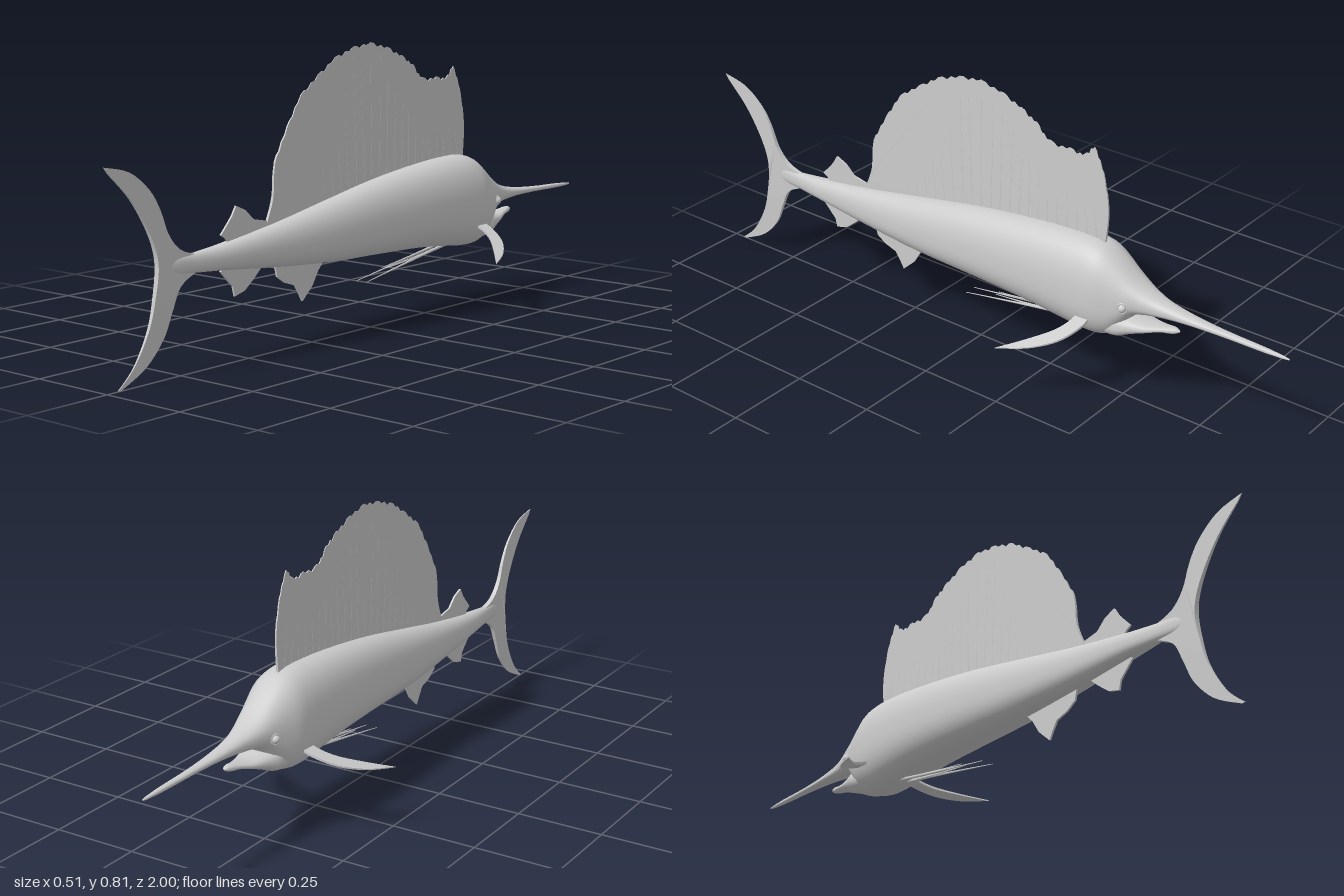
import * as THREE from 'three';

const material = new THREE.MeshStandardMaterial({ color: 0xcccccc });
const thinMaterial = new THREE.MeshStandardMaterial({ color: 0xcccccc, side: THREE.DoubleSide });

// Stations along the fish: [z, top, bottom, half width]
const BODY = [
  [-1, 0.309, 0.306, 0.002], [-0.98, 0.312, 0.304, 0.005], [-0.8, 0.32, 0.304, 0.013], [-0.7, 0.328, 0.303, 0.021],
  [-0.62, 0.342, 0.297, 0.032], [-0.57, 0.36, 0.29, 0.046], [-0.54, 0.377, 0.278, 0.056],
  [-0.51, 0.4, 0.238, 0.067], [-0.48, 0.424, 0.204, 0.078], [-0.44, 0.449, 0.189, 0.09],
  [-0.4, 0.459, 0.187, 0.093], [-0.33, 0.46, 0.194, 0.094], [-0.2, 0.451, 0.206, 0.09],
  [0, 0.426, 0.213, 0.079], [0.2, 0.39, 0.219, 0.066], [0.4, 0.353, 0.234, 0.048],
  [0.6, 0.323, 0.254, 0.029], [0.7, 0.313, 0.262, 0.016], [0.78, 0.305, 0.272, 0.006], [0.8, 0.29, 0.288, 0.001],
];
const JAW = [
  [-0.672, 0.268, 0.265, 0.002], [-0.66, 0.273, 0.258, 0.01], [-0.62, 0.268, 0.251, 0.021],
  [-0.58, 0.264, 0.238, 0.036], [-0.54, 0.27, 0.223, 0.05], [-0.5, 0.28, 0.205, 0.063], [-0.45, 0.28, 0.2, 0.06],
];

const profile = (stations) => new THREE.CubicInterpolant(
  stations.map((s) => s[0]), stations.flatMap((s) => s.slice(1)), 3, new Float32Array(3));
const bodyProfile = profile(BODY);
const topAt = (z) => bodyProfile.evaluate(z)[0];

// Smooth skin through egg-shaped, slightly boxy rings
function loft(name, stations, steps, sides) {
  const curve = profile(stations), pos = [], index = [];
  for (let s = 0; s < stations.length - 1; s++) {
    const last = s === stations.length - 2;
    for (let k = 0; k < steps + (last ? 1 : 0); k++) {
      const z = THREE.MathUtils.lerp(stations[s][0], stations[s + 1][0], k / steps);
      const [top, bottom, w] = curve.evaluate(z);
      const mid = bottom + (top - bottom) * 0.42;
      for (let j = 0; j < sides; j++) {
        const a = (j / sides) * Math.PI * 2, c = Math.cos(a), n = Math.sin(a);
        pos.push(w * Math.sign(c) * Math.abs(c) ** 0.85,
          mid + (n > 0 ? top - mid : mid - bottom) * Math.sign(n) * Math.abs(n) ** 0.85, z);
      }
    }
  }
  const rings = pos.length / 3 / sides;
  for (let i = 0; i < rings - 1; i++) {
    for (let j = 0; j < sides; j++) {
      const a = i * sides + j, b = i * sides + (j + 1) % sides;
      index.push(a, b, a + sides, b, b + sides, a + sides);
    }
  }
  const g = new THREE.BufferGeometry();
  g.setAttribute('position', new THREE.Float32BufferAttribute(pos, 3));
  g.setIndex(index);
  g.computeVertexNormals();
  return named(new THREE.Mesh(g, material), name);
}

function named(object, name) {
  object.name = name;
  return object;
}

const vecs = (points) => points.map(([a, b]) => new THREE.Vector2(a, b));
const smooth = (points, n) => new THREE.SplineCurve(vecs(points)).getPoints(n);

// Slab whose thickness follows a rule of its outline coordinates
function slab(outline, thickness) {
  const g = new THREE.ExtrudeGeometry(new THREE.Shape(outline), { depth: 1, bevelEnabled: false });
  const p = g.attributes.position;
  for (let i = 0; i < p.count; i++) p.setZ(i, (p.getZ(i) - 0.5) * thickness(p.getX(i), p.getY(i)));
  return g;
}

// Upright fin on the centre line, outline in (z, y)
function fin(name, outline, thickness) {
  const g = slab(outline, thickness).rotateY(-Math.PI / 2);
  g.computeVertexNormals();
  return named(new THREE.Mesh(g, thinMaterial), name);
}

// Tapered round strand along a curve
function strand(curve, radius, segments, sides) {
  const g = new THREE.TubeGeometry(curve, segments, radius, sides);
  const p = g.attributes.position, v = new THREE.Vector3();
  for (let i = 0; i < p.count; i++) {
    const t = Math.floor(i / (sides + 1)) / segments;
    const c = curve.getPointAt(t);
    v.fromBufferAttribute(p, i).sub(c).multiplyScalar(1 - 0.8 * t).add(c);
    p.setXYZ(i, v.x, v.y, v.z);
  }
  return new THREE.Mesh(g, material);
}

// Large sail with a ragged rim and raised rays
const SAIL = [
  [-0.425, 0.44], [-0.432, 0.55], [-0.412, 0.65], [-0.38, 0.717], [-0.35, 0.69], [-0.3, 0.692], [-0.235, 0.695],
  [-0.19, 0.735], [-0.14, 0.763], [-0.075, 0.79], [0, 0.806], [0.075, 0.797], [0.15, 0.773], [0.22, 0.73],
  [0.29, 0.68], [0.345, 0.6], [0.395, 0.51], [0.405, 0.42], [0.43, 0.355],
];
function sail() {
  const group = named(new THREE.Group(), 'sail');
  const rim = smooth(SAIL, 90);
  rim.forEach((p, i) => {
    if (i > 6 && i < 84) p.y += [0.004, -0.003, 0.002, -0.006, 0.003][i % 5];
  });
  const base = [];
  for (let z = 0.42; z > -0.42; z -= 0.06) base.push(new THREE.Vector2(z, topAt(z) - 0.02));
  group.add(fin('sailMembrane', [...rim, ...base], (z, y) => THREE.MathUtils.clamp((0.85 - y) * 0.018, 0.001, 0.008)));
  for (let i = 0; i < 24; i++) {
    const t = 0.2 + 0.68 * (i / 23), tip = rim[Math.round(t * 90)];
    const z = -0.4 + i * 0.033, y = topAt(z) - 0.01;
    const ray = new THREE.LineCurve3(new THREE.Vector3(0, y, z),
      new THREE.Vector3(0, THREE.MathUtils.lerp(y, tip.y, 0.93), THREE.MathUtils.lerp(z, tip.x, 0.93)));
    group.add(named(strand(ray, 0.0048, 4, 6), 'sailRay'));
  }
  return group;
}

// Crescent tail with a thicker root
function tail() {
  const upperFront = smooth([[0.69, 0.308], [0.75, 0.328], [0.79, 0.372], [0.815, 0.435], [0.85, 0.49], [0.915, 0.54], [0.998, 0.56]], 24);
  const rear = smooth([[0.985, 0.543], [0.92, 0.48], [0.87, 0.41], [0.838, 0.345], [0.828, 0.29],
    [0.838, 0.22], [0.86, 0.14], [0.91, 0.055], [0.965, 0.005]], 36);
  const lowerFront = smooth([[0.955, 0.004], [0.87, 0.047], [0.81, 0.11], [0.78, 0.175], [0.75, 0.235], [0.69, 0.267]], 24);
  return fin('tailFin', [...upperFront, ...rear, ...lowerFront],
    (z, y) => Math.max(0.002, 0.016 - Math.abs(y - 0.288) * 0.05));
}

// Swept, drooping side fin, outline in (x, -z)
function pectoral(side) {
  const lead = smooth([[0.07, 0.432], [0.11, 0.43], [0.17, 0.398], [0.22, 0.335], [0.256, 0.25]], 20);
  const trail = smooth([[0.25, 0.258], [0.2, 0.315], [0.15, 0.365], [0.11, 0.388], [0.07, 0.395]], 20);
  const outline = [...lead, ...trail].map((p) => new THREE.Vector2(p.x * side, p.y));
  const g = slab(outline, (x) => 0.011 - Math.abs(x) * 0.033).rotateX(-Math.PI / 2);
  const p = g.attributes.position;
  for (let i = 0; i < p.count; i++) p.setY(i, p.getY(i) + 0.25 - (Math.abs(p.getX(i)) - 0.09) * 0.43);
  g.computeVertexNormals();
  return named(new THREE.Mesh(g, thinMaterial), side > 0 ? 'leftPectoralFin' : 'rightPectoralFin');
}

export function createModel() {
  const model = named(new THREE.Group(), 'sailfish');
  model.add(loft('bodyAndBill', BODY, 4, 40), loft('lowerJaw', JAW, 4, 24), sail(), tail());

  // Small fins near the tail
  const even = () => 0.006;
  model.add(
    fin('rearDorsalFin', vecs([[0.42, 0.34], [0.43, 0.362], [0.48, 0.372], [0.51, 0.4], [0.545, 0.415],
      [0.56, 0.39], [0.58, 0.368], [0.602, 0.345], [0.585, 0.335], [0.57, 0.315]]), even),
    fin('analFin', vecs([[0.19, 0.235], [0.225, 0.2], [0.25, 0.16], [0.29, 0.124], [0.305, 0.15], [0.32, 0.172],
      [0.36, 0.185], [0.39, 0.205], [0.4, 0.245]]), even),
    fin('rearAnalFin', vecs([[0.44, 0.25], [0.48, 0.215], [0.515, 0.188], [0.553, 0.178], [0.56, 0.205],
      [0.58, 0.225], [0.605, 0.25], [0.59, 0.262]]), even));

  for (const side of [1, -1]) {
    model.add(pectoral(side));
    // Long pelvic filaments
    for (const [x, y, z] of [[0.018, 0.14, 0.04], [0.008, 0.165, -0.06]]) {
      const path = new THREE.QuadraticBezierCurve3(new THREE.Vector3(side * 0.012, 0.2, -0.34),
        new THREE.Vector3(side * 0.01, 0.178, -0.2), new THREE.Vector3(side * x, y, z));
      model.add(named(strand(path, 0.005, 16, 6), 'pelvicFin'));
    }
    // Eye with a rim
    const eye = named(new THREE.Group(), 'eye');
    eye.add(named(new THREE.Mesh(new THREE.SphereGeometry(0.012, 20, 14), material), 'eyeball'),
      named(new THREE.Mesh(new THREE.TorusGeometry(0.014, 0.003, 8, 24), material), 'eyeRim'));
    eye.position.set(side * 0.06, 0.312, -0.525);
    eye.rotation.y = side * (Math.PI / 2 + 0.4);
    model.add(eye);
  }
  return model;
}
